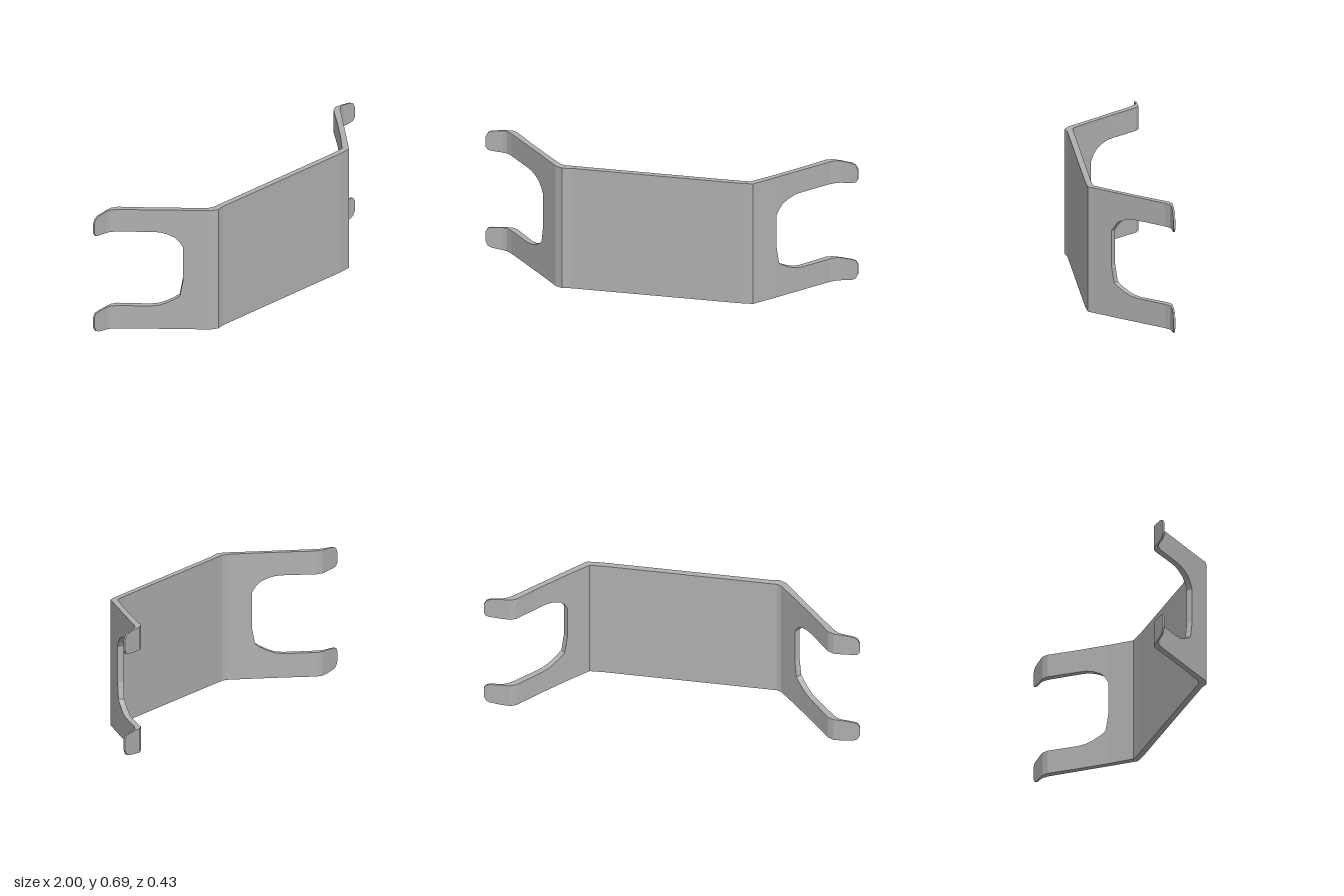
import * as THREE from 'three';

const H = 0.685;          // full height
const GAP = [0.28, 0.47]; // straight edge of each side notch

// Lofts a four-cornered section [outerX, outerZ, innerX, innerZ, yLow, yHigh] along its stations.
// endCaps holds [station index, yLow, yHigh, facing] for the closing faces.
function loft(stations, endCaps, side = 1) {
  const pos = [];
  const quad = (a, b, c, d) => {
    const q = side > 0 ? [a, b, c, a, c, d] : [a, c, b, a, d, c];
    q.forEach(([x, y, z]) => pos.push(x * side, y, z));
  };
  const ring = ([ox, oz, ix, iz, y0, y1]) =>
    [[ox, y0, oz], [ox, y1, oz], [ix, y1, iz], [ix, y0, iz]];
  for (let i = 0; i < stations.length - 1; i++) {
    const p = ring(stations[i]), q = ring(stations[i + 1]);
    for (let j = 0; j < 4; j++) {
      const k = (j + 1) % 4;
      quad(p[j], q[j], q[k], p[k]);
    }
  }
  for (const [index, y0, y1, facing] of endCaps) {
    const [a, b, c, d] = ring([...stations[index].slice(0, 4), y0, y1]);
    if (facing > 0) quad(a, d, c, b);
    else quad(a, b, c, d);
  }
  const g = new THREE.BufferGeometry();
  g.setAttribute('position', new THREE.Float32BufferAttribute(pos, 3));
  g.computeVertexNormals();
  return g;
}

// Sloped part of the bracket: outer point at x, inner point one sheet thickness behind
const slope = (x) => {
  const z = 0.205 - 1.13 * (x - 0.52);
  return [x, z, x - 0.022, z - 0.022];
};

export function createModel() {
  const model = new THREE.Group();
  model.name = 'bracket';
  const steel = new THREE.MeshStandardMaterial({ color: 0xb0b0b0, flatShading: true });
  steel.name = 'grey steel';
  const add = (name, geometry) => {
    const mesh = new THREE.Mesh(geometry, steel);
    mesh.name = name;
    model.add(mesh);
  };

  // Front plate with its two bends, up to the notch edges
  const edge = slope(0.627);
  const leftBend = [[0.45, 0.203, 0.43, 0.171], [0.525, 0.197, 0.505, 0.167], edge];
  const rightBend = [[0.45, 0.204, 0.43, 0.171], [0.495, 0.213, 0.49, 0.171], [0.535, 0.192, 0.515, 0.16], edge];
  const plate = [
    ...rightBend.reverse().map(([ox, oz, ix, iz]) => [-ox, oz, -ix, iz]),
    ...leftBend,
  ].map((s) => [...s, 0, H]);
  add('frontPlate', loft(plate, [[0, ...GAP, -1], [plate.length - 1, ...GAP, 1]]));

  // Arm stations: section, then inner edge height of the lower and the upper arm, then tip rounding
  const arm = [
    [edge, GAP[0], GAP[1], 0],
    [slope(0.638), 0.19, 0.497, 0],
    [slope(0.655), 0.172, 0.526, 0],
    [slope(0.684), 0.15, 0.546, 0],
    [slope(0.71), 0.136, 0.556, 0],
    [slope(0.74), 0.131, 0.558, 0],
    [[0.855, -0.174, 0.828, -0.197], 0.131, 0.558, 0],
    [[0.885, -0.198, 0.86, -0.213], 0.131, 0.558, 0],
    [[0.91, -0.203, 0.905, -0.213], 0.13, 0.559, 0.002],
    [[0.968, -0.203, 0.968, -0.213], 0.125, 0.563, 0.01],
    [[0.987, -0.203, 0.987, -0.213], 0.12, 0.567, 0.02],
    [[1, -0.203, 1, -0.213], 0.1, 0.585, 0.045],
  ];
  const last = arm.length - 1;
  for (const [side, label] of [[1, 'left'], [-1, 'right']]) {
    const lower = arm.map(([s, y, , r]) => [...s, r, y]);
    const upper = arm.map(([s, , y, r]) => [...s, y, H - r]);
    add(label + 'LowerArm', loft(lower, [[last, lower[last][4], lower[last][5], 1]], side));
    add(label + 'UpperArm', loft(upper, [[last, upper[last][4], upper[last][5], 1]], side));
  }
  return model;
}
